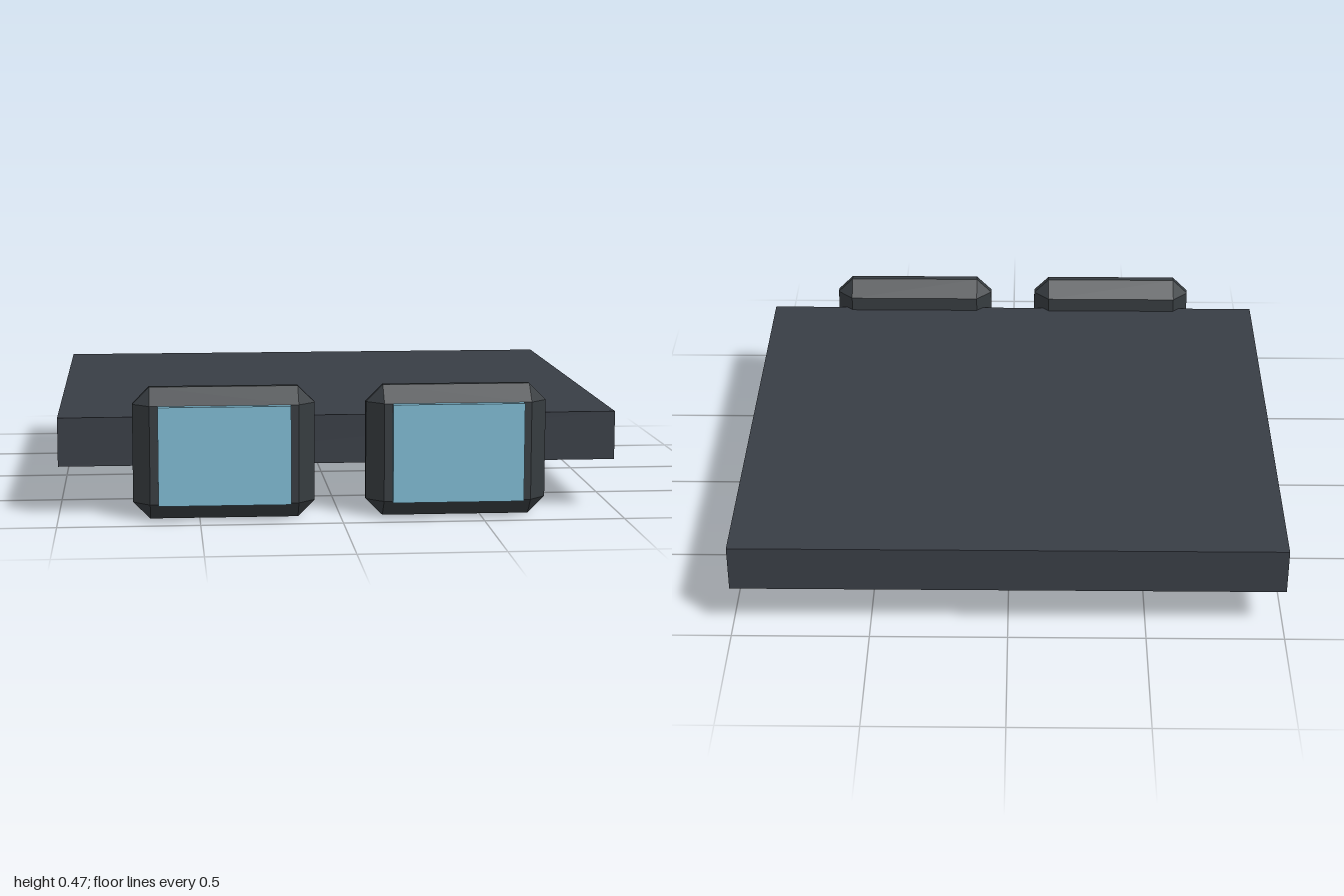
import * as THREE from 'three';
import { ConvexGeometry } from 'three/addons/geometries/ConvexGeometry.js';

// Box with every edge and corner cut back by c
function chamferedBox(w, h, d, c) {
  const points = [];
  for (const sx of [-1, 1]) for (const sy of [-1, 1]) for (const sz of [-1, 1]) {
    const [x, y, z] = [w / 2, h / 2, d / 2];
    points.push(
      new THREE.Vector3(sx * x, sy * (y - c), sz * (z - c)),
      new THREE.Vector3(sx * (x - c), sy * y, sz * (z - c)),
      new THREE.Vector3(sx * (x - c), sy * (y - c), sz * z),
    );
  }
  return new ConvexGeometry(points);
}

function addMesh(parent, name, geometry, material, x, y, z) {
  const mesh = new THREE.Mesh(geometry, material);
  mesh.name = name;
  mesh.position.set(x, y, z);
  parent.add(mesh);
  return mesh;
}

export function createModel() {
  const model = new THREE.Group();
  model.name = 'visor';

  const slabMaterial = new THREE.MeshStandardMaterial({ color: 0x383d45 });
  slabMaterial.name = 'slate grey';
  const frameMaterial = new THREE.MeshStandardMaterial({ color: 0x363b3f });
  frameMaterial.name = 'charcoal';
  const lensMaterial = new THREE.MeshStandardMaterial({ color: 0x7db8d0 });
  lensMaterial.name = 'pale blue';

  // Flat band behind the lenses
  addMesh(model, 'band', new THREE.BoxGeometry(2, 0.175, 1.762), slabMaterial, 0, 0.267, -0.076);

  // Chamfered frames, each with a raised lens
  const frameGeometry = chamferedBox(0.644, 0.47, 0.146, 0.06);
  const lensGeometry = new THREE.BoxGeometry(0.466, 0.35, 0.04);
  for (const [side, s] of [['left', 1], ['right', -1]]) {
    const eyepiece = new THREE.Group();
    eyepiece.name = side + 'Eyepiece';
    eyepiece.position.set(s * 0.413, 0.235, 0.854);
    addMesh(eyepiece, side + 'Frame', frameGeometry, frameMaterial, 0, 0, 0);
    addMesh(eyepiece, side + 'Lens', lensGeometry, lensMaterial, 0, 0, 0.083);
    model.add(eyepiece);
  }
  return model;
}
